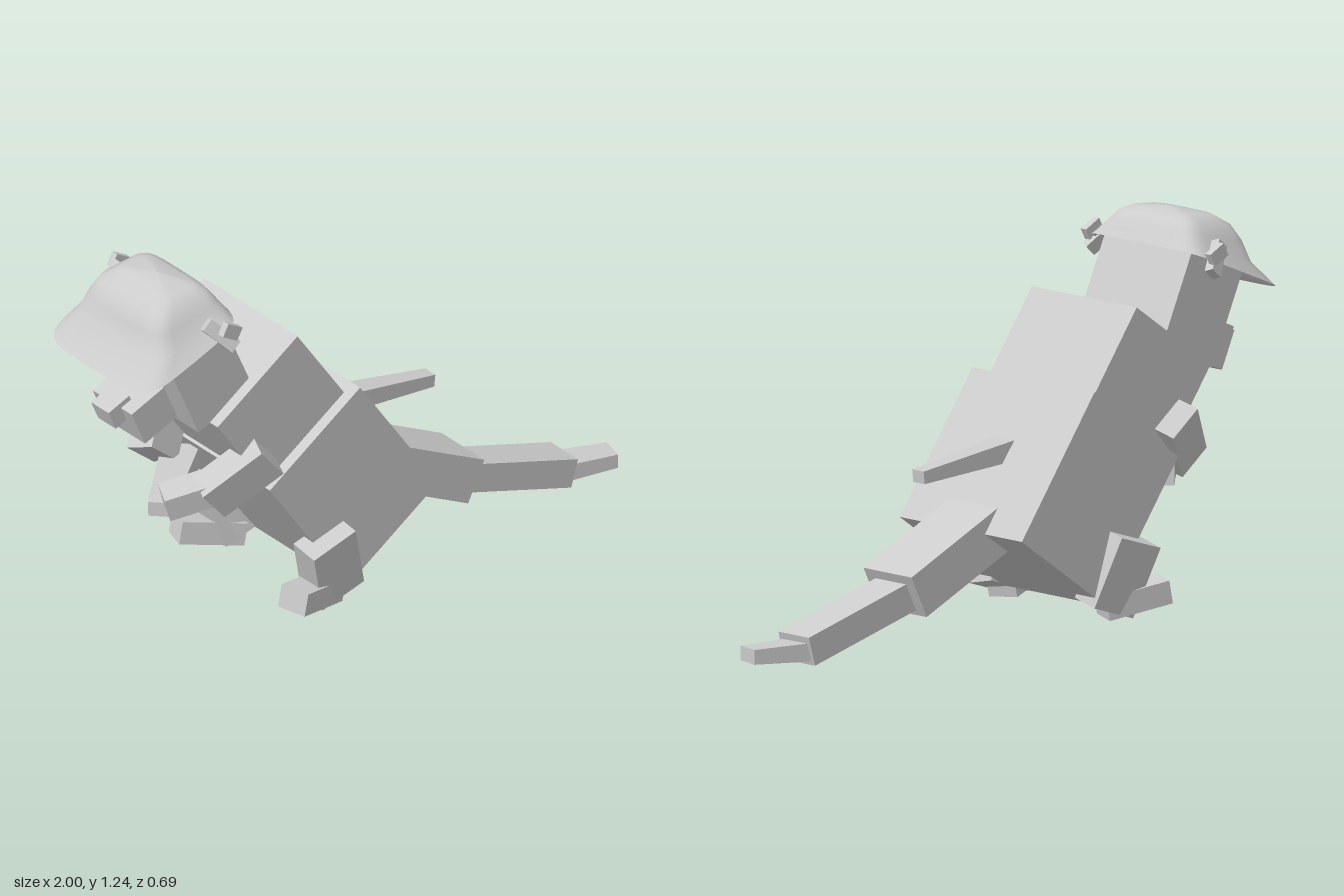
import * as THREE from 'three';

const grey = new THREE.MeshStandardMaterial({ color: 0xcccccc });
const shell = new THREE.MeshStandardMaterial({ color: 0xcccccc, side: THREE.DoubleSide });

// Box running from point a to point b; h = thickness, w = width (near z), taper = scale at b
function bar(name, a, b, h, w, taper = 1) {
  const A = new THREE.Vector3(...a), B = new THREE.Vector3(...b);
  const dir = B.clone().sub(A), len = dir.length();
  dir.normalize();
  const side = new THREE.Vector3(0, 0, 1).addScaledVector(dir, -dir.z).normalize();
  const up = side.clone().cross(dir);
  const geo = new THREE.BoxGeometry(len, h, w);
  const p = geo.attributes.position;
  for (let i = 0; i < p.count; i++) {
    if (p.getX(i) > 0) p.setXYZ(i, p.getX(i), p.getY(i) * taper, p.getZ(i) * taper);
  }
  geo.computeVertexNormals();
  const mesh = new THREE.Mesh(geo, grey);
  mesh.name = name;
  mesh.quaternion.setFromRotationMatrix(new THREE.Matrix4().makeBasis(dir, up, side));
  mesh.position.copy(A).add(B).multiplyScalar(0.5);
  return mesh;
}

// Helmet: rounded-square rings from the flared rim up to the crown
function helmet() {
  // front x, front y, back x, back y, half width
  const rings = [
    [-1.0, 0.99, -0.607, 1.155, 0.27],
    [-0.922, 1.075, -0.625, 1.18, 0.23],
    [-0.906, 1.144, -0.64, 1.205, 0.2],
    [-0.874, 1.198, -0.66, 1.23, 0.175],
    [-0.82, 1.235, -0.69, 1.246, 0.13],
    [-0.75, 1.252, -0.75, 1.252, 0],
  ];
  const n = 32, pos = [], idx = [];
  const power = (v) => Math.sign(v) * Math.abs(v) ** 0.4;
  rings.forEach(([x0, y0, x1, y1, w], r) => {
    for (let i = 0; i < n; i++) {
      const t = (i / n) * Math.PI * 2;
      const u = (power(Math.cos(t)) + 1) / 2;
      pos.push(x0 + (x1 - x0) * u, y0 + (y1 - y0) * u, w * power(Math.sin(t)));
      if (r < rings.length - 1) {
        const a = r * n + i, b = r * n + (i + 1) % n;
        idx.push(a, a + n, b, b, a + n, b + n);
      }
    }
  });
  const geo = new THREE.BufferGeometry();
  geo.setAttribute('position', new THREE.Float32BufferAttribute(pos, 3));
  geo.setIndex(idx);
  geo.computeVertexNormals();
  const mesh = new THREE.Mesh(geo, shell);
  mesh.name = 'helmet';
  return mesh;
}

export function createModel() {
  const g = new THREE.Group();
  g.name = 'helmetedAnimal';

  // Leaning trunk and head
  g.add(
    bar('lowerBody', [-0.045, 0.219, 0], [-0.35, 0.652, 0], 0.43, 0.56),
    bar('upperBody', [-0.347, 0.622, 0], [-0.543, 0.9, 0], 0.38, 0.48),
    bar('head', [-0.636, 0.816, 0], [-0.774, 1.127, 0], 0.23, 0.4),
    helmet(),
  );

  // Face
  g.add(
    bar('snout', [-0.7, 0.878, 0], [-0.9, 0.79, 0], 0.13, 0.2),
    bar('nose', [-0.88, 0.85, 0], [-0.96, 0.815, 0], 0.07, 0.09),
    bar('teeth', [-0.84, 0.78, 0], [-0.86, 0.73, 0], 0.02, 0.06),
  );

  // Mirrored parts
  for (const s of [1, -1]) {
    g.add(
      bar('eye', [-0.81, 1.025, s * 0.1], [-0.885, 0.992, s * 0.1], 0.06, 0.07),
      bar('ear', [-0.74, 1.165, s * 0.235], [-0.665, 1.085, s * 0.285], 0.045, 0.03),
      bar('earTip', [-0.71, 1.16, s * 0.285], [-0.655, 1.13, s * 0.285], 0.045, 0.025),
      bar('thigh', [-0.32, 0.3, s * 0.29], [-0.25, 0.08, s * 0.24], 0.17, 0.1),
      bar('foot', [-0.25, 0.085, s * 0.23], [-0.45, 0.125, s * 0.3], 0.075, 0.1),
    );
  }

  // Arms held in front of the belly, folded differently on each side
  g.add(
    bar('leftUpperArm', [-0.52, 0.65, 0.26], [-0.68, 0.51, 0.17], 0.13, 0.1),
    bar('leftHand', [-0.66, 0.54, 0.17], [-0.8, 0.5, 0.1], 0.08, 0.1),
    bar('rightUpperArm', [-0.52, 0.65, -0.26], [-0.64, 0.5, -0.17], 0.13, 0.1),
    bar('rightForearm', [-0.52, 0.46, -0.18], [-0.78, 0.45, 0.06], 0.07, 0.12, 0.7),
  );

  // Tail and back spike
  g.add(
    bar('tailBase', [0.04, 0.355, 0], [0.407, 0.18, 0], 0.147, 0.22),
    bar('tailMiddle', [0.39, 0.178, 0], [0.82, 0.056, 0], 0.095, 0.14),
    bar('tailTip', [0.8, 0.052, -0.005], [0.99, 0.052, 0.04], 0.058, 0.11, 0.8),
    bar('backSpike', [-0.06, 0.574, 0], [0.309, 0.532, 0], 0.065, 0.085, 0.62),
  );
  return g;
}
